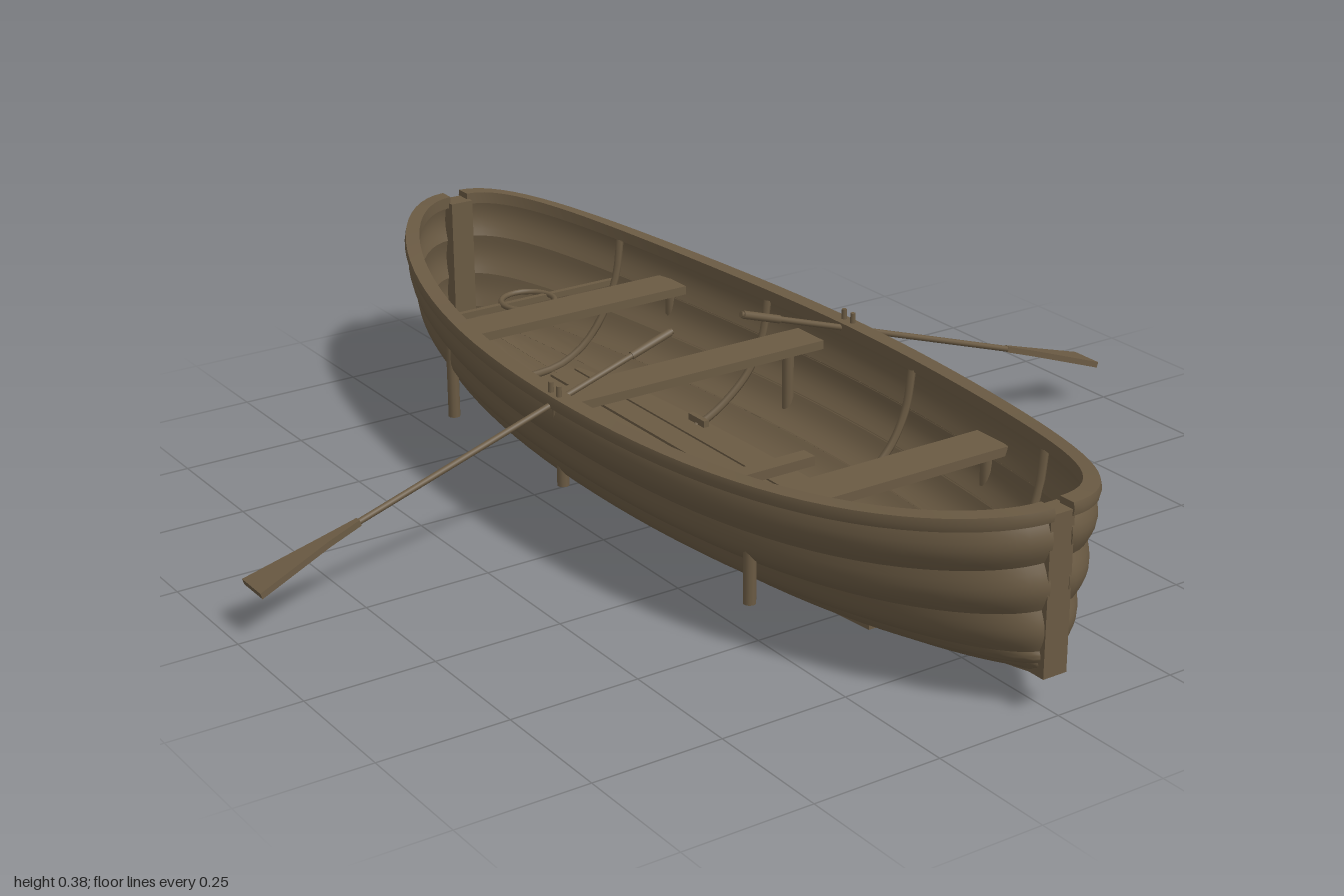
import * as THREE from 'three';
import { toCreasedNormals } from 'three/addons/utils/BufferGeometryUtils.js';

const wood = new THREE.MeshStandardMaterial({ color: 0x6a5a43 });
wood.name = 'dark weathered wood';

const HALF_LENGTH = 0.975;
const STEM = 0.02;
// strake edges: half breadth and height amidships, height at the stems, sharpness of the ends
const EDGES = [
  [0.0, 0.012, 0.072, 1.5],
  [0.09, 0.02, 0.082, 1.4],
  [0.165, 0.043, 0.092, 1.3],
  [0.225, 0.08, 0.115, 1.2],
  [0.283, 0.135, 0.19, 1.1],
  [0.318, 0.205, 0.275, 1.02],
  [0.333, 0.292, 0.358, 1],
];

// Skins closed cross-sections (counter-clockwise seen from +z, stepping towards +z)
function loft(rings, crease = 0.7) {
  const n = rings[0].length, index = [];
  for (let i = 0; i < rings.length - 1; i++) {
    for (let j = 0; j < n; j++) {
      const a = i * n + j, b = i * n + ((j + 1) % n);
      index.push(a, b, b + n, a, b + n, a + n);
    }
  }
  const last = (rings.length - 1) * n;
  for (let j = 1; j < n - 1; j++) index.push(0, j + 1, j, last, last + j, last + j + 1);
  const g = new THREE.BufferGeometry();
  g.setAttribute('position', new THREE.Float32BufferAttribute(rings.flat(2), 3));
  g.setIndex(index);
  return toCreasedNormals(g, crease);
}

const mirrorRing = (ring) => ring.map(([x, y, z]) => [-x, y, z]).reverse();

// Point of the hull on strake k, at height fraction s and sweep angle a, pushed out by off
function hullPoint(k, s, a, off) {
  const A = EDGES[k], B = EDGES[k + 1];
  const [X, Y, E, p] = A.map((v, i) => v + (B[i] - v) * s);
  const len = Math.hypot(B[0] - A[0], B[1] - A[1]);
  const nx = (B[1] - A[1]) / len, ny = -(B[0] - A[0]) / len;
  const c = Math.max(0, Math.cos(a)), sn = Math.sin(a);
  return [
    STEM + (X - STEM) * c ** p + nx * c * off,
    Y + (E - Y) * Math.abs(sn) ** 3 + ny * c * off,
    HALF_LENGTH * sn + nx * sn * off,
  ];
}

function sweep(section, steps = 48) {
  return Array.from({ length: steps + 1 }, (_, i) => section(-Math.PI / 2 + (Math.PI * i) / steps));
}

// Inside skin point at station z and strake position u (0 keel to 6 rail)
function inside(u, z, gap = 0.012) {
  const k = Math.min(5, Math.floor(u));
  return new THREE.Vector3(...hullPoint(k, u - k, Math.asin(z / HALF_LENGTH), -gap));
}

export function createModel() {
  const boat = new THREE.Group();
  boat.name = 'rowingBoat';
  const add = (name, geometry, x = 0, y = 0, z = 0, parent = boat) => {
    const m = new THREE.Mesh(geometry, wood);
    m.name = name;
    m.position.set(x, y, z);
    parent.add(m);
    return m;
  };
  const box = (name, w, h, d, x, y, z, parent) => add(name, new THREE.BoxGeometry(w, h, d), x, y, z, parent);
  const tube = (name, points, r, parent) =>
    add(name, new THREE.TubeGeometry(new THREE.CatmullRomCurve3(points), 28, r, 6), 0, 0, 0, parent);
  const bothSides = (name, rings) => {
    add(name + 'Left', loft(rings));
    add(name + 'Right', loft(rings.map(mirrorRing)));
  };

  // rounded hull planks
  for (let k = 0; k < 6; k++) {
    const bulge = k < 3 ? 0.009 : 0.015;
    bothSides('strake' + (k + 1), sweep((a) => {
      const ring = [];
      for (let i = 0; i <= 6; i++) ring.push(hullPoint(k, i / 6, a, bulge * Math.sin((Math.PI * i) / 6)));
      for (let i = 6; i >= 0; i--) ring.push(hullPoint(k, i / 6, a, -0.01 + 0.6 * bulge * Math.sin((Math.PI * i) / 6)));
      return ring;
    }));
  }

  // rail capping the top plank
  bothSides('gunwale', sweep((a) => {
    const c = Math.max(0, Math.cos(a)), sn = Math.sin(a);
    const y = 0.283 + 0.068 * Math.abs(sn) ** 3;
    const p = (out, h) => [STEM + (0.328 + out) * c, y + h, (HALF_LENGTH + out + 0.013) * sn];
    return [p(-0.033, 0), p(0, 0), p(0.003, 0.012), p(0, 0.024), p(-0.033, 0.024)];
  }));

  // keel following the bottom curve
  add('keel', loft(sweep((a) => {
    const y = 0.068 * Math.abs(Math.sin(a)) ** 3, z = 0.985 * Math.sin(a);
    return [[-0.014, y, z], [0.014, y, z], [0.014, y + 0.02, z], [-0.014, y + 0.02, z]];
  })));

  // upright posts closing both ends
  for (const s of [-1, 1]) box(s > 0 ? 'bowStem' : 'sternStem', 0.05, 0.295, 0.045, 0, 0.215, s * 0.964);

  // floorboards
  for (const x of [-0.061, 0, 0.061]) box('floorboard', 0.054, 0.01, 1.3, x, 0.052, 0);
  for (const s of [-1, 1]) {
    const shape = new THREE.Shape();
    shape.moveTo(s * 0.093, -0.65);
    shape.lineTo(s * 0.125, -0.65);
    shape.quadraticCurveTo(s * 0.2, 0, s * 0.125, 0.65);
    shape.lineTo(s * 0.093, 0.65);
    const g = new THREE.ExtrudeGeometry(shape, { depth: 0.01, bevelEnabled: false, curveSegments: 12 });
    g.rotateX(Math.PI / 2);
    add('outerFloorboard', g, 0, 0.057, 0);
  }
  box('footrest', 0.36, 0.02, 0.036, 0, 0.085, 0.065);
  box('floorEndCleat', 0.17, 0.02, 0.014, 0, 0.068, 0.672);

  // benches on round posts
  for (const [z, half, d] of [[-0.535, 0.27, 0.088], [-0.12, 0.317, 0.085], [0.49, 0.275, 0.09]]) {
    box('bench', half * 2, 0.018, d, 0, 0.243, z);
    for (const s of [-1, 1]) {
      add('benchPost', new THREE.CylinderGeometry(0.012, 0.012, 0.17, 10), s * 0.262, 0.157, z);
    }
  }

  // short side ribs with a foot on the floor
  for (const z of [-0.255, 0.215]) {
    for (const s of [-1, 1]) {
      const path = [5.9, 5, 4, 3, 2.2, 1.7].map((u) => inside(u, z, 0.016).multiply(new THREE.Vector3(s, 1, 1)));
      tube('sideRib', path, 0.008);
      box('ribFoot', 0.012, 0.014, 0.055, s * 0.14, 0.064, z);
    }
  }

  // full frames near both ends
  for (const z of [-0.69, 0.69]) {
    const half = [5.9, 5, 4, 3, 2, 1].map((u) => inside(u, z, 0.014));
    const other = half.map((p) => new THREE.Vector3(-p.x, p.y, p.z)).reverse();
    tube('endFrame', [...half, ...other], 0.008);
  }

  // ring carried on a cross bar near the stern
  box('ringBar', 0.44, 0.012, 0.012, 0, 0.215, -0.69);
  add('ring', new THREE.TorusGeometry(0.056, 0.006, 8, 28).rotateX(Math.PI / 2), 0, 0.22, -0.677);

  // oars with their locks
  for (const s of [-1, 1]) {
    const oar = new THREE.Group();
    oar.name = s > 0 ? 'leftOar' : 'rightOar';
    oar.position.set(s * 0.335, 0.291, -0.022);
    oar.rotation.set(0, s > 0 ? 0 : Math.PI, 0);
    const tilt = new THREE.Group();
    tilt.name = 'oarTilt';
    tilt.rotation.z = -0.314;
    oar.add(tilt);
    add('oarShaft', new THREE.CylinderGeometry(0.006, 0.006, 0.75, 10).rotateZ(Math.PI / 2), 0.105, 0, 0, tilt);
    add('oarGrip', new THREE.CylinderGeometry(0.008, 0.008, 0.09, 10).rotateZ(Math.PI / 2), -0.22, 0, 0, tilt);
    const tip = -0.01 * s;
    const blade = new THREE.Shape();
    blade.moveTo(0.43, -0.006);
    blade.lineTo(0.5, -0.013);
    blade.lineTo(0.656, -0.036 + tip * 0.6);
    blade.lineTo(0.656, 0.036 + tip * 0.6);
    blade.lineTo(0.5, 0.013);
    blade.lineTo(0.43, 0.006);
    const g = new THREE.ExtrudeGeometry(blade, { depth: 0.012, bevelEnabled: false });
    g.rotateX(-Math.PI / 2);
    add('oarBlade', g, 0, -0.006, 0, tilt);
    boat.add(oar);

    add('oarlockPin', new THREE.CylinderGeometry(0.006, 0.006, 0.04, 8), s * 0.335, 0.28, -0.022);
    for (const dz of [-0.014, 0.014]) {
      add('oarlockHorn', new THREE.CylinderGeometry(0.005, 0.006, 0.03, 8), s * 0.335, 0.312, -0.022 + dz);
    }
  }
  return boat;
}
